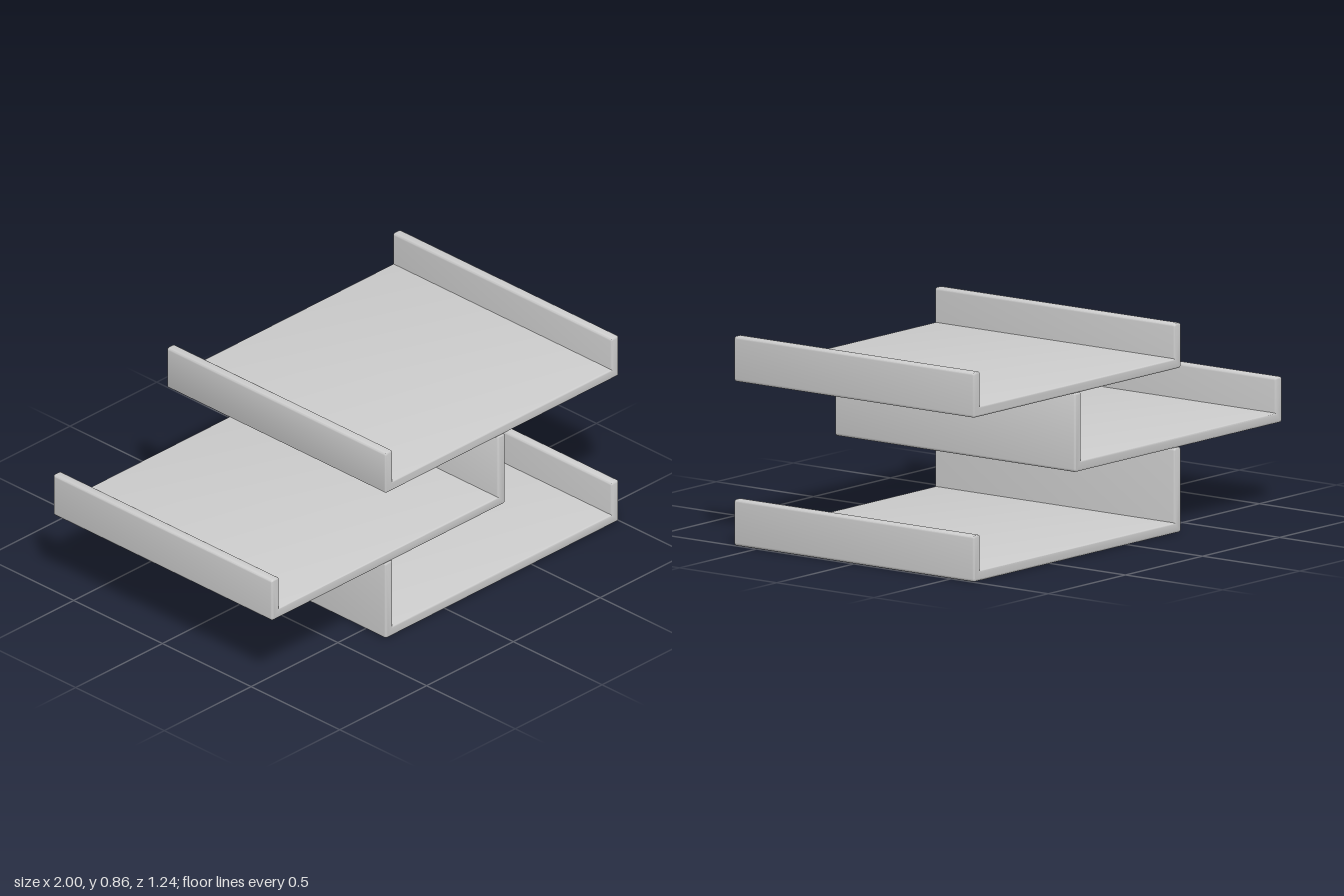
import * as THREE from 'three';
import { toCreasedNormals } from 'three/addons/utils/BufferGeometryUtils.js';

const DEPTH = 1.235, WALL = 0.043, BEVEL = 0.008, ROUND = 0.012;

// U-shaped profile with softened outer corners, extruded along z
function trayGeometry(x0, x1, y, leftTop, rightTop) {
  // [x, y, rounded]
  const pts = [
    [x0, y, 1], [x1, y, 1],
    [x1, rightTop, 1], [x1 - WALL, rightTop, 1], [x1 - WALL, y + WALL, 0],
    [x0 + WALL, y + WALL, 0], [x0 + WALL, leftTop, 1], [x0, leftTop, 1],
  ];
  const shape = new THREE.Shape();
  pts.forEach(([px, py, rounded], i) => {
    const p = new THREE.Vector2(px, py);
    const toward = (q) => new THREE.Vector2(q[0], q[1]).sub(p).setLength(ROUND).add(p);
    const a = rounded ? toward(pts[(i + 7) % 8]) : p;
    if (i === 0) shape.moveTo(a.x, a.y);
    else shape.lineTo(a.x, a.y);
    if (rounded) {
      const b = toward(pts[(i + 1) % 8]);
      shape.quadraticCurveTo(px, py, b.x, b.y);
    }
  });
  shape.closePath();
  const geometry = new THREE.ExtrudeGeometry(shape, {
    depth: DEPTH - 2 * BEVEL, curveSegments: 4,
    bevelEnabled: true, bevelThickness: BEVEL, bevelSize: BEVEL, bevelOffset: -BEVEL, bevelSegments: 3,
  });
  geometry.translate(0, 0, -DEPTH / 2 + BEVEL);
  return toCreasedNormals(geometry, 0.65);
}

export function createModel() {
  const group = new THREE.Group();
  group.name = 'steppedShelf';
  const material = new THREE.MeshStandardMaterial({ color: 0xcccccc });

  // name, left edge, right edge, base, top of each side wall
  const trays = [
    ['lowerTray', -0.345, 1, 0, 0.35, 0.19],
    ['middleTray', -1, 0.345, 0.35, 0.538, 0.674],
    ['upperTray', -0.345, 1, 0.674, 0.86, 0.86],
  ];
  for (const [name, ...dims] of trays) {
    const mesh = new THREE.Mesh(trayGeometry(...dims), material);
    mesh.name = name;
    group.add(mesh);
  }
  return group;
}
